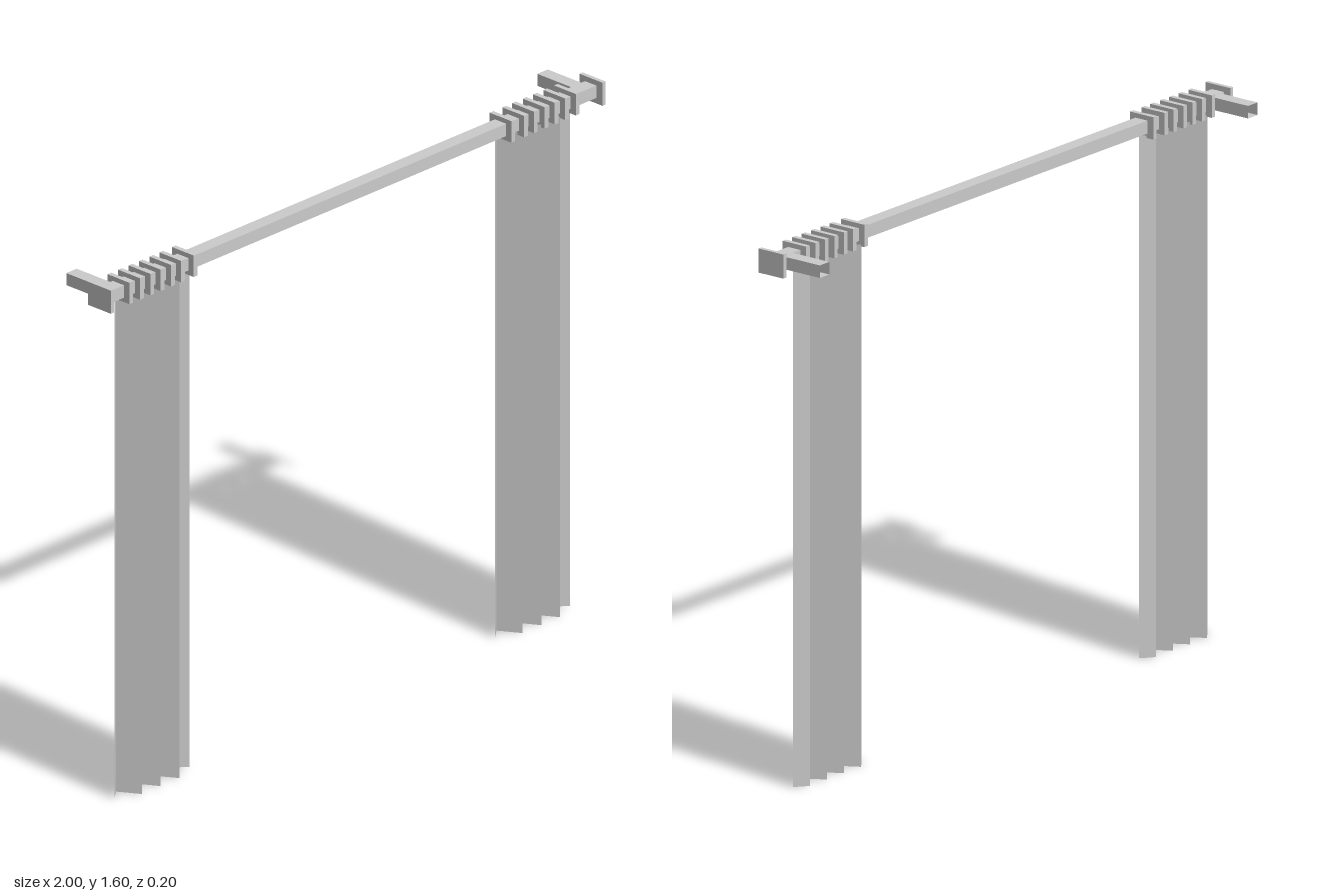
import * as THREE from 'three';

const ROD_Y = 1.563, ROD_Z = 0.054;

export function createModel() {
  const model = new THREE.Group();
  const solid = new THREE.MeshStandardMaterial({ color: 0xcccccc, flatShading: true });
  const thin = new THREE.MeshStandardMaterial({ color: 0xcccccc, flatShading: true, side: THREE.DoubleSide });

  const add = (parent, name, geometry, material, x, y, z) => {
    const mesh = new THREE.Mesh(geometry, material);
    mesh.name = name;
    mesh.position.set(x, y, z);
    parent.add(mesh);
    return mesh;
  };

  // Square rod across the full width
  add(model, 'rod', new THREE.BoxGeometry(1.98, 0.038, 0.044), solid, 0, ROD_Y, ROD_Z);

  // Hollow wall bracket, open at both ends
  const bracketGeometry = new THREE.CylinderGeometry(Math.SQRT1_2, Math.SQRT1_2, 1, 4, 1, true);
  bracketGeometry.rotateY(Math.PI / 4).rotateX(Math.PI / 2).scale(0.042, 0.037, 0.135);

  // Pleated sheet: z of each fold line, evenly spaced in x
  const folds = [0.049, 0.019, 0.083, 0.019, 0.083, 0.019, 0.083, 0.019, 0.049];
  const curtainGeometry = new THREE.PlaneGeometry(0.304, 1.538, folds.length - 1, 1);
  const position = curtainGeometry.attributes.position;
  for (let i = 0; i < position.count; i++) position.setZ(i, folds[i % folds.length]);
  curtainGeometry.computeVertexNormals();

  // Ring offsets from the curtain's middle, outer to inner
  const ringOffsets = [0.133, 0.09, 0.048, 0.007, -0.036, -0.076, -0.127];
  const ringGeometry = new THREE.BoxGeometry(0.015, 0.066, 0.085);
  const plateGeometry = new THREE.BoxGeometry(0.013, 0.071, 0.09);

  for (const [side, name, middle] of [[1, 'left', 0.757], [-1, 'right', -0.781]]) {
    add(model, name + 'EndPlate', plateGeometry, solid, side * 0.9935, 1.5625, 0.055);
    add(model, name + 'Bracket', bracketGeometry, thin, side * 0.952, ROD_Y, -0.0325);

    // Curtain with its rings
    const drape = new THREE.Group();
    drape.name = name + 'Drape';
    drape.position.x = middle;
    add(drape, 'curtain', curtainGeometry, thin, 0, 0.769, 0);
    for (const offset of ringOffsets) {
      add(drape, 'ring', ringGeometry, solid, side * offset, ROD_Y, ROD_Z);
    }
    model.add(drape);
  }
  return model;
}
